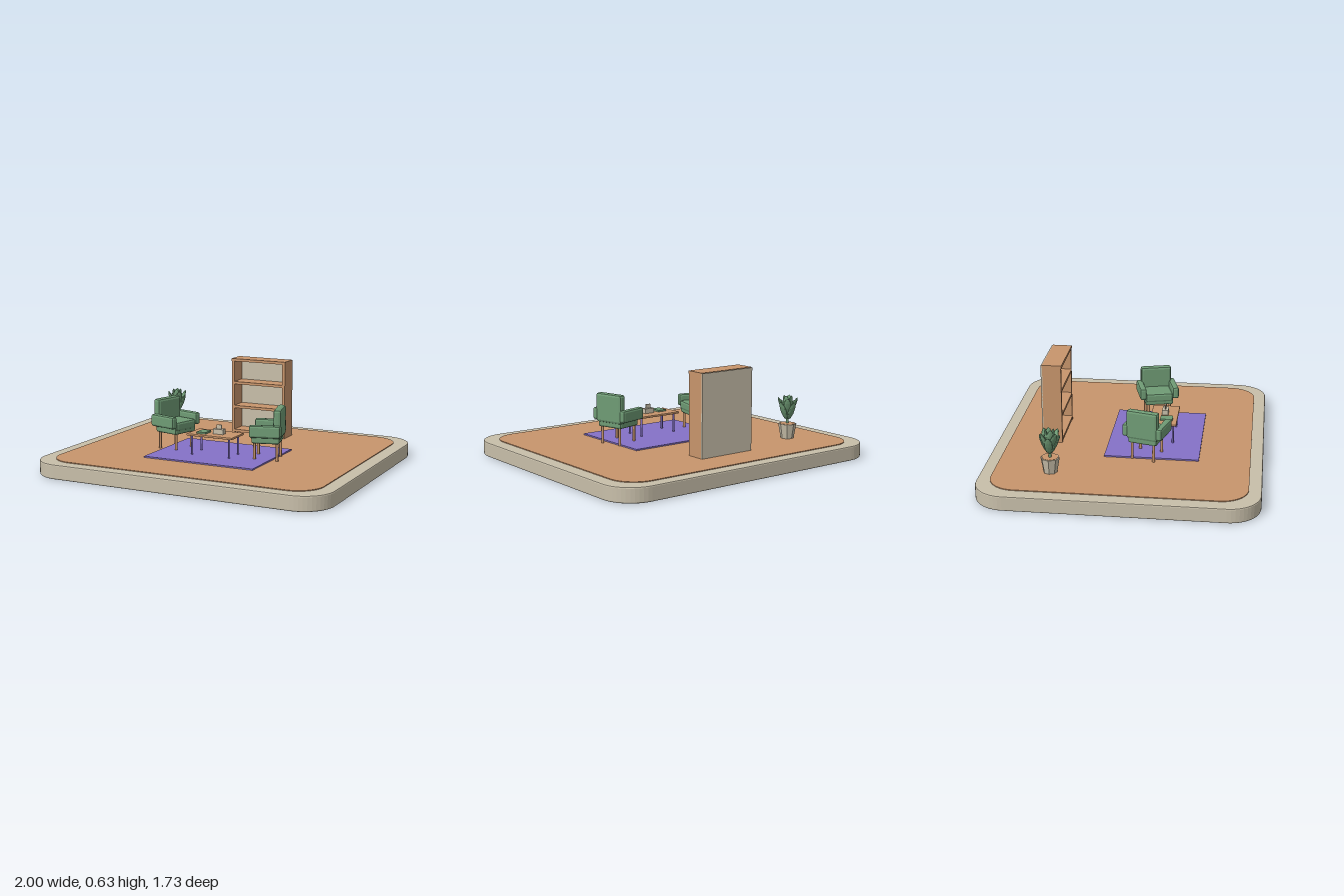
import * as THREE from 'three';
import { RoundedBoxGeometry } from 'three/addons/geometries/RoundedBoxGeometry.js';

const paint = (name, color) => {
  const m = new THREE.MeshStandardMaterial({ color });
  m.name = name;
  return m;
};

export function createModel() {
  const wood = paint('warm wood', 0xc8956c);
  const stone = paint('beige stone', 0xc8bfaa);
  const green = paint('sage green', 0x6f9b75);
  const purple = paint('violet', 0x8572c8);

  const model = new THREE.Group();
  model.name = 'readingCorner';

  const add = (parent, name, geo, mat, x = 0, y = 0, z = 0) => {
    const mesh = new THREE.Mesh(geo, mat);
    mesh.name = name;
    mesh.position.set(x, y, z);
    parent.add(mesh);
    return mesh;
  };
  const group = (name, x = 0, y = 0, z = 0) => {
    const g = new THREE.Group();
    g.name = name;
    g.position.set(x, y, z);
    model.add(g);
    return g;
  };
  const faceted = (geo) => {
    const g = geo.index ? geo.toNonIndexed() : geo;
    g.computeVertexNormals();
    return g;
  };
  const box = (w, h, d) => new THREE.BoxGeometry(w, h, d);
  const soft = (w, h, d, r) => faceted(new RoundedBoxGeometry(w, h, d, 1, r));

  // Rounded slab lying flat, from y0 to y1, with a small bevel
  const slab = (hx, hz, r, y0, y1, bevel) => {
    const a = hx - bevel, b = hz - bevel, q = r - bevel;
    const s = new THREE.Shape();
    s.absarc(a - q, b - q, q, 0, Math.PI / 2);
    s.absarc(-a + q, b - q, q, Math.PI / 2, Math.PI);
    s.absarc(-a + q, -b + q, q, Math.PI, Math.PI * 1.5);
    s.absarc(a - q, -b + q, q, Math.PI * 1.5, Math.PI * 2);
    const g = new THREE.ExtrudeGeometry(s, {
      depth: y1 - y0 - 2 * bevel, bevelEnabled: bevel > 0, bevelSize: bevel,
      bevelThickness: bevel, bevelSegments: 2, curveSegments: 6,
    });
    g.rotateX(-Math.PI / 2);
    g.translate(0, y0 + bevel, 0);
    return g;
  };

  // Ground: plinth, floor and rug
  add(model, 'plinth', slab(1, 0.863, 0.2, 0, 0.095, 0.008), stone);
  add(model, 'floor', slab(0.913, 0.785, 0.17, 0.09, 0.1, 0), wood);
  add(model, 'rug', box(0.765, 0.009, 0.6), purple, 0, 0.1045, 0.162);

  // Bookcase
  const bookcase = group('bookcase', 0, 0.1, -0.5);
  for (const s of [-1, 1]) {
    add(bookcase, 'bookcaseSide', box(0.02, 0.53, 0.122), wood, s * 0.19, 0.265, 0.002);
  }
  add(bookcase, 'bookcaseTop', box(0.402, 0.018, 0.126), wood, 0, 0.522, 0.004);
  for (const y of [0.024, 0.194, 0.362]) {
    add(bookcase, 'shelf', box(0.36, 0.018, 0.124), wood, 0, y, 0.004);
  }
  add(bookcase, 'bookcaseBack', box(0.4, 0.528, 0.01), stone, 0, 0.264, -0.062);

  // Armchairs, built facing local +x and turned towards the table
  const armchair = (side) => {
    const c = group(side > 0 ? 'leftArmchair' : 'rightArmchair', side * 0.333, 0, 0.13);
    c.rotation.y = side > 0 ? Math.PI + Math.PI / 12 : -Math.PI / 12;
    add(c, 'seatBase', soft(0.18, 0.055, 0.19, 0.012), green, 0, 0.239, 0);
    add(c, 'seatCushion', soft(0.165, 0.06, 0.18, 0.014), green, 0.015, 0.265, 0);
    add(c, 'backrest', soft(0.052, 0.19, 0.208, 0.016), green, -0.075, 0.338, 0);
    for (const s of [-1, 1]) {
      add(c, 'armrest', soft(0.2, 0.08, 0.044, 0.014), green, 0, 0.295, s * 0.11);
      for (const t of [-1, 1]) {
        add(c, 'chairLeg', new THREE.CylinderGeometry(0.009, 0.009, 0.12, 8), wood,
          t * 0.072, 0.16, s * 0.072);
      }
    }
  };
  armchair(-1);
  armchair(1);

  // Coffee table
  const table = group('coffeeTable', 0, 0, 0.21);
  add(table, 'tableTop', soft(0.324, 0.014, 0.178, 0.004), wood, 0, 0.24, 0);
  for (const x of [-0.133, 0.133]) {
    for (const z of [-0.063, 0.067]) {
      add(table, 'tableLeg', new THREE.CylinderGeometry(0.007, 0.007, 0.13, 8), purple, x, 0.17, z);
    }
  }

  // Things on the table
  add(model, 'book', box(0.064, 0.011, 0.08), green, -0.071, 0.2525, 0.23);
  add(model, 'tissueBox', box(0.072, 0.032, 0.04), stone, 0.031, 0.263, 0.214);
  add(model, 'tissue', box(0.034, 0.028, 0.008), stone, 0.031, 0.292, 0.214);

  // Potted plant
  const plant = group('plant', -0.635, 0.1, -0.435);
  add(plant, 'pot', faceted(new THREE.CylinderGeometry(0.06, 0.043, 0.097, 8)), stone, 0, 0.0485, 0);
  add(plant, 'soil', new THREE.CylinderGeometry(0.052, 0.052, 0.004, 8), wood, 0, 0.097, 0);
  add(plant, 'stem', new THREE.CylinderGeometry(0.008, 0.01, 0.09, 6), green, 0, 0.135, 0);
  const leafShape = faceted(new THREE.IcosahedronGeometry(1, 1));
  const leaf = (angle, lean, radius, y, length) => {
    const pivot = new THREE.Group();
    pivot.name = 'leaf';
    pivot.rotation.y = angle;
    plant.add(pivot);
    const m = add(pivot, 'leafBlade', leafShape, green, radius, y, 0);
    m.scale.set(0.012, length, 0.026);
    m.rotation.z = -lean;
  };
  for (let i = 0; i < 8; i++) {
    leaf(i * Math.PI / 4, 0.42, 0.036, 0.185 + (i % 2) * 0.025, 0.068);
  }
  for (let i = 0; i < 4; i++) leaf(i * Math.PI / 2 + 0.4, 0.15, 0.016, 0.215, 0.072);

  return model;
}
